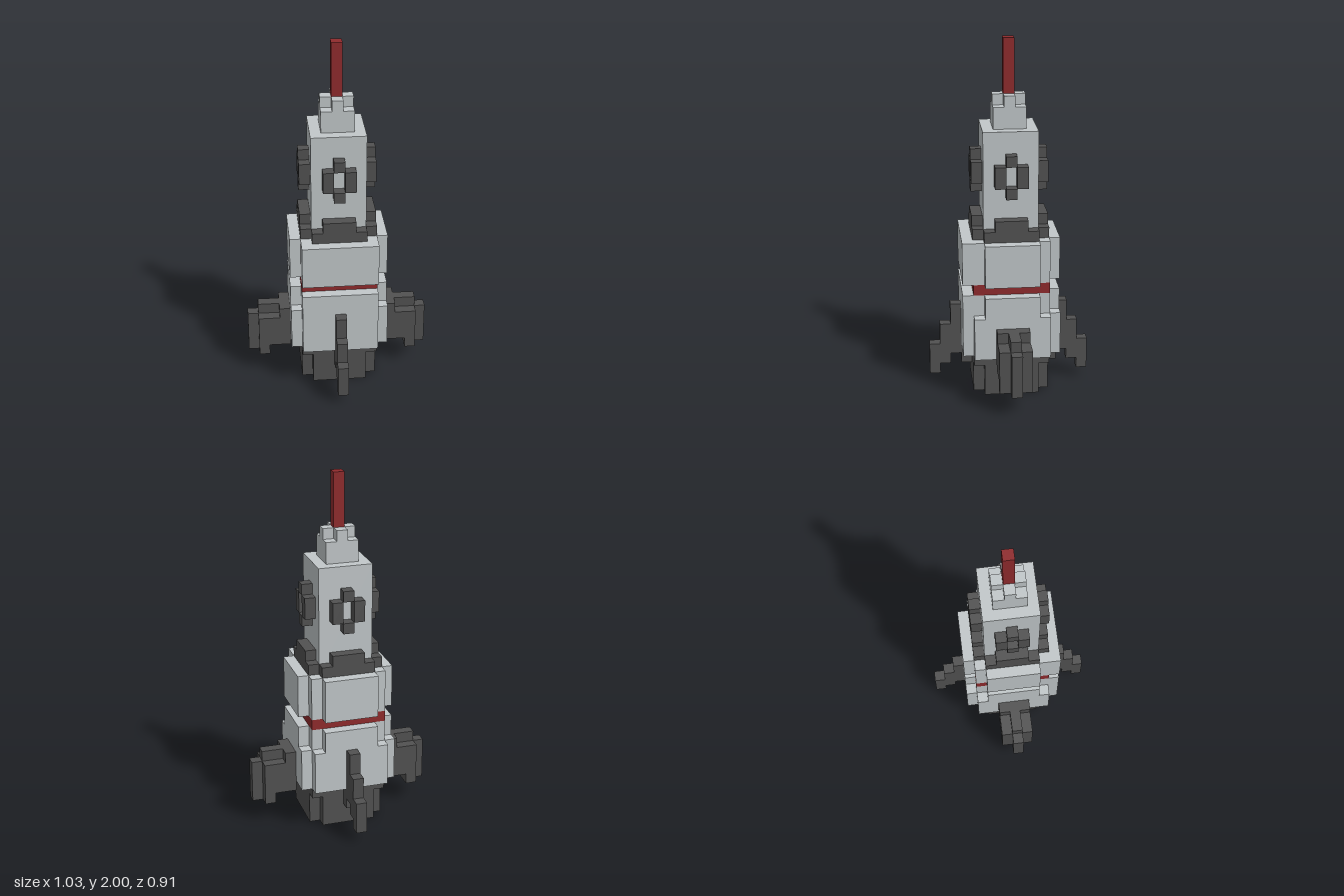
import * as THREE from 'three';

const U = 2 / 33; // edge of one cube

const mat = (name, color) => {
  const m = new THREE.MeshStandardMaterial({ color });
  m.name = name;
  return m;
};

export function createModel() {
  const grey = mat('light grey', 0xc2c8ca);
  const dark = mat('dark grey', 0x525252);
  const red = mat('red', 0x902b2d);
  const gold = mat('gold', 0xb5a268);

  const model = new THREE.Group();
  model.name = 'rocket';

  // Box between two corners, measured in cubes
  const box = (parent, name, material, [x0, x1], [y0, y1], [z0, z1]) => {
    const mesh = new THREE.Mesh(
      new THREE.BoxGeometry((x1 - x0) * U, (y1 - y0) * U, (z1 - z0) * U), material);
    mesh.position.set((x0 + x1) / 2 * U, (y0 + y1) / 2 * U, (z0 + z1) / 2 * U);
    mesh.name = name;
    parent.add(mesh);
  };
  // Square block centred on the axis
  const block = (name, material, half, y) =>
    box(model, name, material, [-half, half], y, [-half, half]);
  // Group turned by quarter turns, built facing +z
  const side = (name, turn) => {
    const g = new THREE.Group();
    g.name = name;
    g.rotation.y = turn * Math.PI / 2;
    model.add(g);
    return g;
  };

  // Central stack
  block('engineCore', dark, 2.5, [1, 3]);
  block('engineTop', dark, 3.5, [3, 4]);
  block('nozzleGlow', gold, 2.49, [0.9, 1]);
  block('lowerHull', grey, 3.5, [4, 10]);
  block('redBand', red, 3.5, [10, 11]);
  block('middleHull', grey, 3.5, [11, 15]);
  block('upperHull', grey, 2.5, [15, 25]);
  block('noseBase', grey, 1.5, [25, 27]);
  block('noseTip', grey, 0.5, [27, 28]);
  block('antenna', red, 0.5, [28, 33]);

  for (let i = 0; i < 4; i++) {
    const g = side('hullSide', i);
    // Engine skirt wall
    box(g, 'engineWall', dark, [-2.5, 2.5], [0, 3], [2.5, 3.5]);
    // Hull panels; the front one is full width, the others step in
    const w = i === 0 ? 3.5 : 2.5;
    box(g, 'lowerPanel', grey, [-3.5, 3.5], [4, 8], [3.5, 4.5]);
    box(g, 'lowerPanelTop', grey, [-w, w], [8, 10], [3.5, 4.5]);
    box(g, 'middlePanel', grey, [-w, w], [11, 15], [3.5, 4.5]);
    // Collar
    box(g, 'collar', dark, [-2.5, 2.5], [15, 16], [2.5, 3.5]);
    box(g, 'collarTop', dark, [-1.5, 1.5], [16, 17], [2.5, 3.5]);
    // Window frame
    for (const y of [19, 22]) box(g, 'windowFrame', dark, [-0.5, 0.5], [y, y + 1], [2.5, 3.5]);
    for (const x of [-1, 1]) box(g, 'windowFrame', dark, [x - 0.5, x + 0.5], [20, 22], [2.5, 3.5]);
    // Raised edge of the nose
    box(g, 'noseStep', grey, [-0.5, 0.5], [27, 28], [0.5, 1.5]);
  }

  // Thin front and back fins: columns stepping outward and down
  for (const turn of [0, 2]) {
    const g = side(turn ? 'backFin' : 'frontFin', turn);
    [[2, 4], [3, 8], [2, 6], [1, 4]].forEach((y, k) =>
      box(g, 'finColumn', dark, [-0.5, 0.5], y, [3.5 + k, 4.5 + k]));
  }

  // Wide left and right fins
  for (const turn of [1, 3]) {
    const g = side(turn === 1 ? 'leftFin' : 'rightFin', turn);
    box(g, 'finRoot', dark, [-1.5, 1.5], [3, 7], [4.5, 5.5]);
    box(g, 'finMiddle', dark, [-1.5, 1.5], [3, 6], [5.5, 6.5]);
    box(g, 'finOuter', dark, [-1.5, 1.5], [2, 6], [6.5, 7.5]);
    box(g, 'finRidge', dark, [-0.5, 0.5], [6, 7], [5.5, 7.5]);
    box(g, 'finTip', dark, [-0.5, 0.5], [2, 6], [7.5, 8.5]);
  }

  return model;
}
